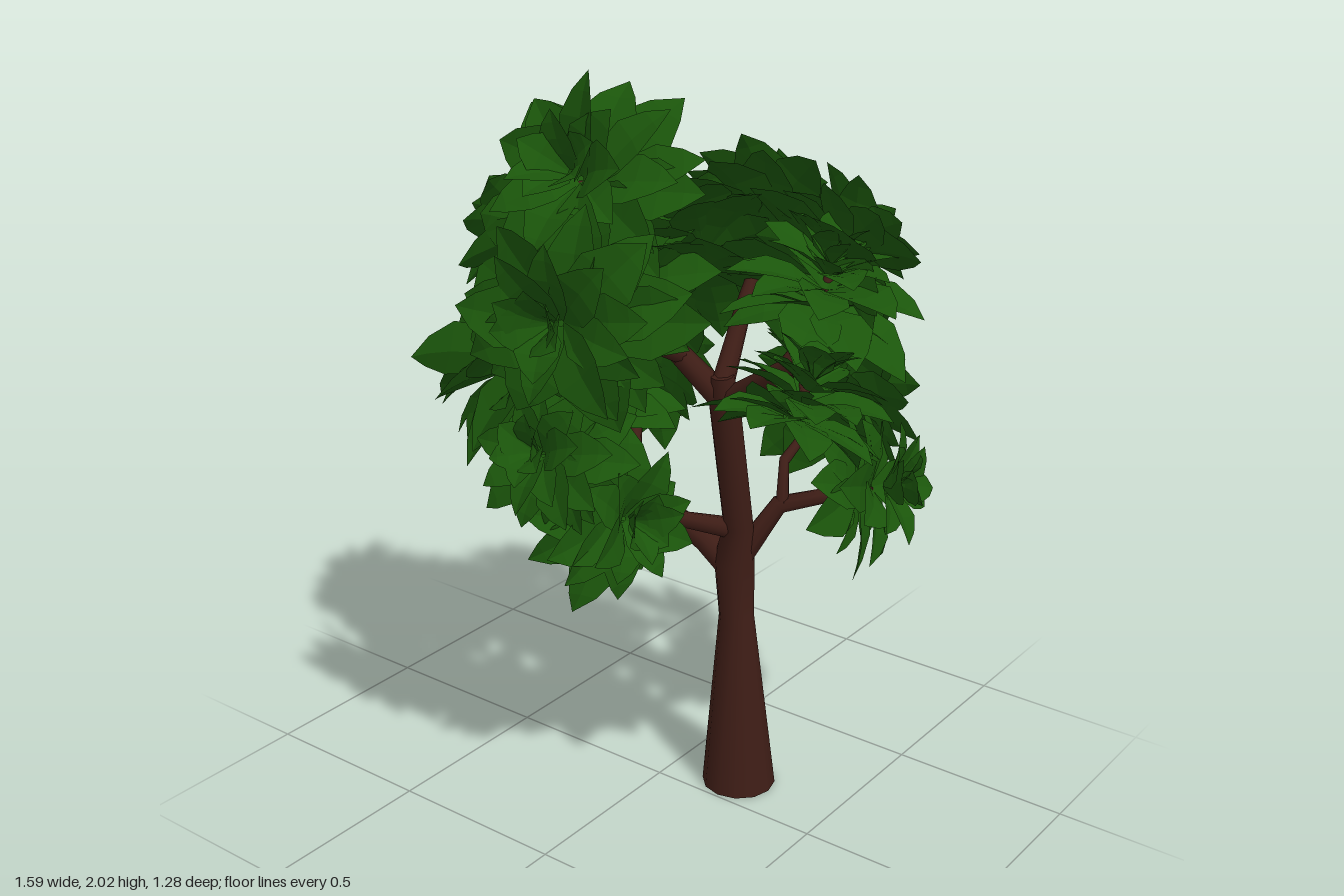
import * as THREE from 'three';

const V = (a) => new THREE.Vector3(...a);
const UP = new THREE.Vector3(0, 1, 0);
const bark = new THREE.MeshStandardMaterial({ color: 0x3e1d16 });
const foliage = new THREE.MeshStandardMaterial({ color: 0x1b560b, side: THREE.DoubleSide, flatShading: true });

function seeded(seed) {
  let s = seed;
  return () => (s = (s * 16807) % 2147483647) / 2147483647;
}

// Tapered limb lofted through [x, y, z, radius] stations, capped at both ends
function limb(name, stations, sides = 10) {
  const pos = [], index = [], n = stations.length;
  const pts = stations.map((s) => V(s.slice(0, 3)));
  stations.forEach((s, i) => {
    const dir = pts[Math.min(i + 1, n - 1)].clone().sub(pts[Math.max(i - 1, 0)]).normalize();
    if (s[1] === 0) dir.copy(UP);
    const q = new THREE.Quaternion().setFromUnitVectors(UP, dir);
    for (let k = 0; k < sides; k++) {
      const a = (k / sides) * Math.PI * 2;
      const p = V([Math.sin(a) * s[3], 0, Math.cos(a) * s[3]]).applyQuaternion(q).add(pts[i]);
      pos.push(p.x, p.y, p.z);
      if (i < n - 1) {
        const A = i * sides + k, B = i * sides + ((k + 1) % sides);
        index.push(A, B, B + sides, A, B + sides, A + sides);
      }
    }
  });
  // End caps use their own vertices so their edges stay sharp
  [0, n - 1].forEach((i) => {
    const base = pos.length / 3;
    pos.push(...pos.slice(i * sides * 3, (i + 1) * sides * 3));
    for (let k = 1; k < sides - 1; k++) {
      if (i === 0) index.push(base, base + k + 1, base + k);
      else index.push(base, base + k, base + k + 1);
    }
  });
  const g = new THREE.BufferGeometry();
  g.setAttribute('position', new THREE.Float32BufferAttribute(pos, 3));
  g.setIndex(index);
  g.computeVertexNormals();
  const mesh = new THREE.Mesh(g, bark);
  mesh.name = name;
  return mesh;
}

// Leaf rings: count, start height, opening angle, curl, length
const RINGS = [
  [10, -0.15, 84, 34, 0.98],
  [9, 0.03, 66, 38, 0.92],
  [8, 0.18, 44, 42, 0.78],
  [6, 0.32, 18, 45, 0.52],
];
// Leaf outline: distance along the leaf, half width
const OUTLINE = [[0, 0.04], [0.3, 0.21], [0.55, 0.23], [0.8, 0.13], [1, 0]];

// Domed rosette of pointed, curled leaves facing along an axis
function leafCluster(name, centre, axis, r, seed) {
  const rand = seeded(seed), pos = [];
  const jitter = (amount) => (rand() - 0.5) * 2 * amount;
  RINGS.forEach(([count, h, open, curl, len], ring) => {
    for (let k = 0; k < count; k++) {
      const a = ((k + ring * 0.5 + jitter(0.3)) / count) * Math.PI * 2;
      const L = len * r * (1 + jitter(0.14));
      const start = THREE.MathUtils.degToRad(open + jitter(12));
      const bend = THREE.MathUtils.degToRad(curl);
      const twist = jitter(0.35);
      const out = V([Math.cos(a), 0, Math.sin(a)]), side = V([-Math.sin(a), 0, Math.cos(a)]);
      let rad = 0.03 * r, y = (h - 0.2) * r, last = 0;
      const rows = OUTLINE.map(([t, w]) => {
        const phi = start + bend * t;
        rad += Math.sin(phi) * (t - last) * L;
        y += Math.cos(phi) * (t - last) * L;
        last = t;
        const mid = out.clone().multiplyScalar(rad).addScaledVector(UP, y);
        const normal = UP.clone().multiplyScalar(Math.sin(phi)).addScaledVector(out, -Math.cos(phi));
        const half = w * Math.max(L, 0.7 * r) * 1.25;
        const edge = (s) => mid.clone().addScaledVector(side, s * half)
          .addScaledVector(normal, half * (0.2 + s * twist));
        return [edge(-1), mid, edge(1)];
      });
      for (let i = 0; i < rows.length - 1; i++) {
        for (let j = 0; j < 2; j++) {
          const A = rows[i][j], B = rows[i][j + 1], C = rows[i + 1][j + 1], D = rows[i + 1][j];
          const tris = i === rows.length - 2 ? [A, B, C] : [A, B, C, A, C, D];
          tris.forEach((p) => pos.push(p.x, p.y, p.z));
        }
      }
    }
  });
  const g = new THREE.BufferGeometry();
  g.setAttribute('position', new THREE.Float32BufferAttribute(pos, 3));
  g.computeVertexNormals();
  const mesh = new THREE.Mesh(g, foliage);
  mesh.name = name;
  mesh.position.copy(V(centre));
  mesh.quaternion.setFromUnitVectors(UP, V(axis).normalize());
  return mesh;
}

export function createModel() {
  const tree = new THREE.Group();
  tree.name = 'tree';

  // Trunk and the limbs that fork from it
  const wood = new THREE.Group();
  wood.name = 'wood';
  wood.add(
    limb('trunk', [[0.197, 0, -0.11, 0.102], [0.18, 0.52, -0.11, 0.048], [0.17, 0.68, -0.11, 0.055],
      [0.195, 0.8, -0.09, 0.04], [0.2, 1.18, -0.01, 0.04], [0.2, 1.25, 0.0, 0.03]], 12),
    limb('lowerRightBranch', [[0.17, 0.66, -0.11, 0.045], [0.08, 0.72, -0.1, 0.034],
      [-0.1, 0.83, -0.06, 0.026], [-0.33, 0.97, -0.03, 0.022], [-0.44, 1.1, -0.03, 0.012]]),
    limb('rearRightBranch', [[-0.14, 0.85, -0.06, 0.022], [-0.25, 0.94, -0.22, 0.018], [-0.34, 1.04, -0.4, 0.01]], 8),
    limb('lowerLeftBranch', [[0.18, 0.68, -0.11, 0.035], [0.27, 0.85, -0.17, 0.026],
      [0.38, 0.88, -0.25, 0.02], [0.48, 0.9, -0.3, 0.01]], 8),
    limb('lowerRearBranch', [[0.28, 0.85, -0.17, 0.018], [0.27, 0.97, -0.19, 0.015], [0.25, 1.06, -0.44, 0.008]], 8),
    limb('lowerFrontBranch', [[0.18, 0.78, -0.1, 0.03], [0.12, 0.84, 0.04, 0.022], [0.05, 0.9, 0.18, 0.015],
      [-0.04, 1.06, 0.38, 0.008]], 8),
    limb('upperLeftBranch', [[0.2, 1.17, -0.01, 0.036], [0.38, 1.3, 0.0, 0.026],
      [0.48, 1.35, 0.08, 0.02], [0.6, 1.35, 0.23, 0.01]], 8),
    limb('crownLeftBranch', [[0.37, 1.29, 0.0, 0.022], [0.45, 1.42, -0.04, 0.018], [0.46, 1.6, -0.1, 0.01]], 8),
    limb('upperRightBranch', [[0.2, 1.18, -0.01, 0.036], [0.09, 1.3, 0.04, 0.028],
      [-0.08, 1.42, 0.06, 0.022], [-0.32, 1.54, 0.05, 0.01]], 8),
    limb('upperFrontBranch', [[0.1, 1.29, 0.03, 0.024], [0.08, 1.38, 0.2, 0.02], [0.08, 1.48, 0.44, 0.01]], 8),
    limb('crownBranch', [[0.0, 1.36, 0.06, 0.022], [-0.03, 1.55, 0.16, 0.018], [-0.05, 1.76, 0.25, 0.01]], 8),
    limb('upperRearBranch', [[0.2, 1.22, 0.0, 0.03], [0.18, 1.4, -0.12, 0.022], [0.15, 1.56, -0.26, 0.01]], 8),
  );

  // Foliage: name, centre, facing axis, radius
  const leaves = new THREE.Group();
  leaves.name = 'foliage';
  [
    ['crownLeaves', [-0.05, 1.77, 0.25], [-0.05, 0.5, 0.75], 0.29],
    ['upperFrontLeaves', [0.09, 1.5, 0.5], [0.1, 0.15, 1], 0.29],
    ['upperRightLeaves', [-0.36, 1.56, 0.06], [-1, 0.35, 0], 0.29],
    ['upperMiddleLeaves', [-0.1, 1.5, 0.21], [-0.35, 0.4, 0.7], 0.29],
    ['upperRearLeaves', [0.15, 1.6, -0.27], [-0.1, 0.5, -0.8], 0.29],
    ['innerRearLeaves', [0.08, 1.58, -0.08], [-0.4, 0.8, -0.5], 0.28],
    ['crownLeftLeaves', [0.46, 1.61, -0.15], [0.15, 0.4, -1], 0.23],
    ['innerLeftLeaves', [0.48, 1.56, -0.04], [0.15, 1, -0.1], 0.25],
    ['upperLeftLeaves', [0.6, 1.37, 0.22], [0.15, 0.8, -0.35], 0.22],
    ['lowerRightLeaves', [-0.57, 1.13, -0.03], [-0.9, 0.4, 0], 0.31],
    ['innerRightLeaves', [-0.3, 1.1, -0.06], [-0.1, 0.6, 0.2], 0.25],
    ['rearRightLeaves', [-0.35, 1.08, -0.43], [-0.1, 0.2, -1], 0.25],
    ['lowerRearLeaves', [0.25, 1.08, -0.5], [0.05, 0.35, -1], 0.26],
    ['lowerLeftLeaves', [0.51, 0.92, -0.31], [0.9, 0.2, -0.3], 0.23],
    ['lowerFrontLeaves', [-0.06, 1.1, 0.4], [-0.1, 0.45, 0.85], 0.22],
    ['innerFrontLeaves', [0.07, 0.9, 0.24], [0.95, 0.15, 0.2], 0.24],
  ].forEach(([name, centre, axis, r], i) => leaves.add(leafCluster(name, centre, axis, r, 101 + i * 977)));

  tree.add(wood, leaves);
  return tree;
}
